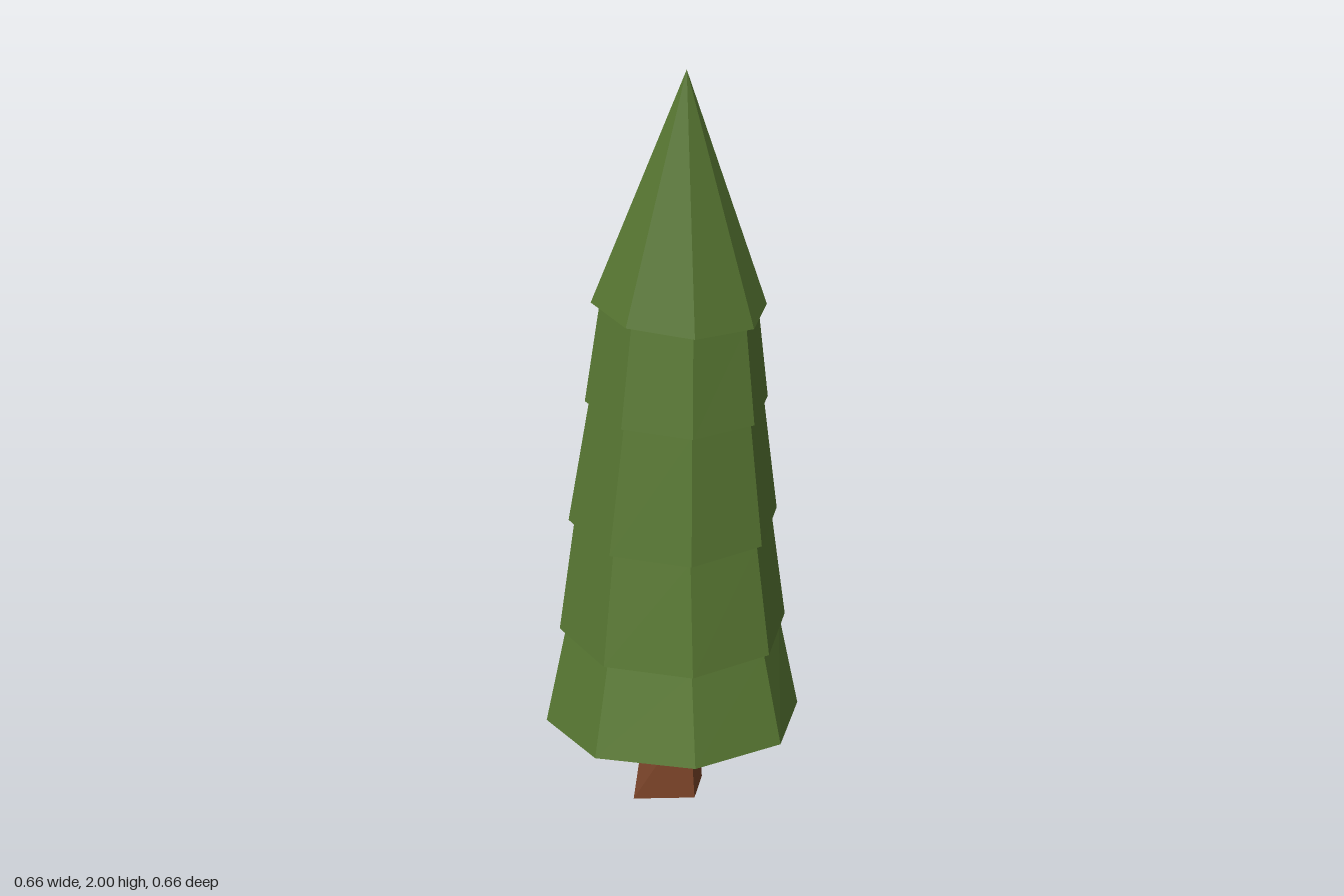
import * as THREE from 'three';

// Low-poly skin over stacked rings of points, closed by a flat base and a top point
function loft(rings, apex) {
  const pos = [];
  const tri = (...pts) => pts.forEach((p) => pos.push(...p));
  const n = rings[0].length;
  const base = [0, 1, 2].map((k) => rings[0].reduce((s, p) => s + p[k], 0) / n);
  const top = rings[rings.length - 1];
  for (let i = 0; i < n; i++) {
    const j = (i + 1) % n;
    tri(base, rings[0][i], rings[0][j]);
    for (let r = 0; r < rings.length - 1; r++) {
      const lo = rings[r], hi = rings[r + 1];
      tri(lo[i], hi[i], lo[j]);
      tri(lo[j], hi[i], hi[j]);
    }
    tri(top[i], apex, top[j]);
  }
  const g = new THREE.BufferGeometry();
  g.setAttribute('position', new THREE.Float32BufferAttribute(pos, 3));
  g.computeVertexNormals();
  return g;
}

// Eight-sided ring, tilted by the slopes sx and sz
function tiltedRing({ x, y, z, r, sx, sz }, inset = 0) {
  return Array.from({ length: 8 }, (_, i) => {
    const a = THREE.MathUtils.degToRad(25.8 + i * 45);
    const dx = Math.cos(a) * (r - inset), dz = Math.sin(a) * (r - inset);
    return [x + dx, y - sx * dx - sz * dz, z + dz];
  });
}

export function createModel() {
  const group = new THREE.Group();
  const add = (name, geometry, color) => {
    const mesh = new THREE.Mesh(geometry, new THREE.MeshStandardMaterial({ color, flatShading: true }));
    mesh.name = name;
    group.add(mesh);
  };

  // Foliage: each tier rises to an inset neck under the tilted rim of the next
  const rims = [
    { x: 0, y: 0.23, z: 0, r: 0.352, sx: 0, sz: 0 },
    { x: 0, y: 0.5, z: 0, r: 0.311, sx: 0.03, sz: 0.1, inset: 0.017 },
    { x: 0.002, y: 0.813, z: 0.008, r: 0.282, sx: 0.05, sz: 0.16, inset: 0.016 },
    { x: 0.015, y: 1.14, z: 0.03, r: 0.242, sx: 0.07, sz: 0.15, inset: 0.011 },
    { x: 0.023, y: 1.397, z: 0.04, r: 0.229, sx: 0.1, sz: 0.15, inset: 0.023 },
  ];
  const rings = [];
  for (const rim of rims) {
    if (rim.inset) rings.push(tiltedRing(rim, rim.inset));
    rings.push(tiltedRing(rim));
  }
  add('foliage', loft(rings, [0.06, 2, 0.157]), 0x5a7a34);

  // Trunk: uneven four-sided stump, narrower at the top
  const foot = [[0.07, -0.07], [0.07, 0.06], [-0.095, 0.095], [-0.06, -0.07]];
  const neck = [[0.055, -0.06], [0.055, 0.055], [-0.065, 0.065], [-0.055, -0.06]];
  const level = (corners, y) => corners.map(([x, z]) => [x, y, z]);
  add('trunk', loft([level(foot, 0), level(neck, 0.24)], [0, 0.24, 0]), 0x7d4529);

  return group;
}
